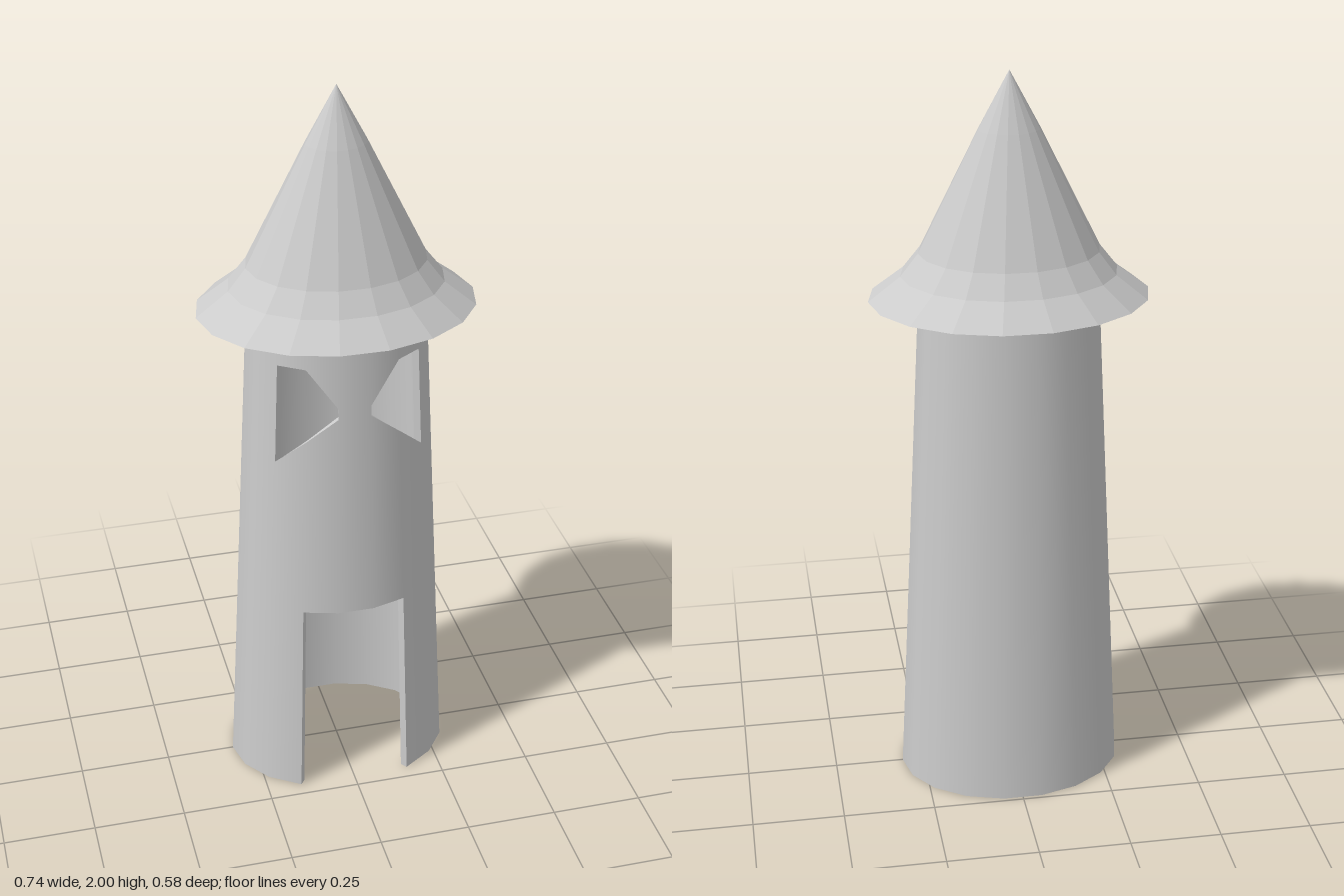
import * as THREE from 'three';

const RAD = Math.PI / 180;
const EAVES = 1.405, INNER = 0.92;

// point on the tapering oval wall; angle 0 faces the front
function wallPoint(deg, y, scale = 1) {
  const t = y / EAVES;
  const rx = (0.31 - 0.07 * t) * scale, rz = (0.243 - 0.05 * t) * scale;
  return new THREE.Vector3(rx * Math.sin(deg * RAD), y, rz * Math.cos(deg * RAD));
}

function wallNormal(deg) {
  return new THREE.Vector3(Math.sin(deg * RAD) / 0.31, 0.16, Math.cos(deg * RAD) / 0.243).normalize();
}

function buildWall() {
  const positions = [], normals = [];

  // quad a-b-c-d turned to face the given corner normals (flat when only a hint is given)
  function quad(corners, facing, flat) {
    const [a, b, , d] = corners;
    const face = b.clone().sub(a).cross(d.clone().sub(a)).normalize();
    const flip = face.dot(facing[0]) < 0;
    if (flip) face.negate();
    for (const i of flip ? [0, 2, 1, 0, 3, 2] : [0, 1, 2, 0, 2, 3]) {
      positions.push(...corners[i].toArray());
      normals.push(...(flat ? face : facing[i]).toArray());
    }
  }

  // solid piece of one facet, with bottom and top heights at both edges
  function band(a0, a1, [low0, low1, high0, high1]) {
    const n0 = wallNormal(a0), n1 = wallNormal(a1);
    for (const s of [1, INNER]) {
      const sign = s === 1 ? 1 : -1;
      quad([wallPoint(a0, low0, s), wallPoint(a1, low1, s), wallPoint(a1, high1, s), wallPoint(a0, high0, s)],
        [n0, n1, n1, n0].map(n => n.clone().multiplyScalar(sign)));
    }
    for (const [y0, y1, dir] of [[low0, low1, -1], [high0, high1, 1]]) {
      quad([wallPoint(a0, y0), wallPoint(a1, y1), wallPoint(a1, y1, INNER), wallPoint(a0, y0, INNER)],
        [new THREE.Vector3(0, dir, 0)], true);
    }
  }

  // vertical side of an opening
  function jamb(deg, y0, y1, dir) {
    quad([wallPoint(deg, y0), wallPoint(deg, y1), wallPoint(deg, y1, INNER), wallPoint(deg, y0, INNER)],
      [new THREE.Vector3(dir, 0, 0)], true);
  }

  // eighteen facets; the front ones are interrupted by the door and two windows
  for (let j = -8; j <= 9; j++) {
    const k = Math.abs(j), side = j < 0 ? -1 : 1;
    const a0 = side * (20 * k - 10), a1 = side * (20 * k + 10);
    const base = k <= 1 ? 0.58 : 0;
    if (k === 1) {
      band(a0, a1, [base, base, 1.17, 1.10]);
      band(a0, a1, [1.20, 1.31, EAVES, EAVES]);
    } else if (k === 2) {
      band(a0, a1, [base, base, 1.10, 1.03]);
      band(a0, a1, [1.31, 1.31, EAVES, EAVES]);
    } else {
      band(a0, a1, [base, base, EAVES, EAVES]);
    }
  }
  for (const s of [-1, 1]) {
    jamb(s * 30, 0, 0.58, -s);
    jamb(s * 50, 1.03, 1.31, -s);
    jamb(s * 10, 1.17, 1.20, s);
  }

  const geometry = new THREE.BufferGeometry();
  geometry.setAttribute('position', new THREE.Float32BufferAttribute(positions, 3));
  geometry.setAttribute('normal', new THREE.Float32BufferAttribute(normals, 3));
  return geometry;
}

export function createModel() {
  const group = new THREE.Group();
  group.name = 'tower';

  // hollow oval wall with doorway and windows
  const wall = new THREE.Mesh(buildWall(), new THREE.MeshStandardMaterial({ color: 0xcccccc }));
  wall.name = 'towerWall';

  // pointed roof with flared eaves and a flat underside
  const profile = [[0, EAVES], [0.37, EAVES], [0.285, 1.47], [0.238, 1.53], [0.08, 1.85], [0, 2]]
    .map(([r, y]) => new THREE.Vector2(r, y));
  const roof = new THREE.Mesh(
    new THREE.LatheGeometry(profile, 18, 10 * RAD).scale(1, 1, 0.8),
    new THREE.MeshStandardMaterial({ color: 0xcccccc, flatShading: true }));
  roof.name = 'roof';

  group.add(wall, roof);
  return group;
}
